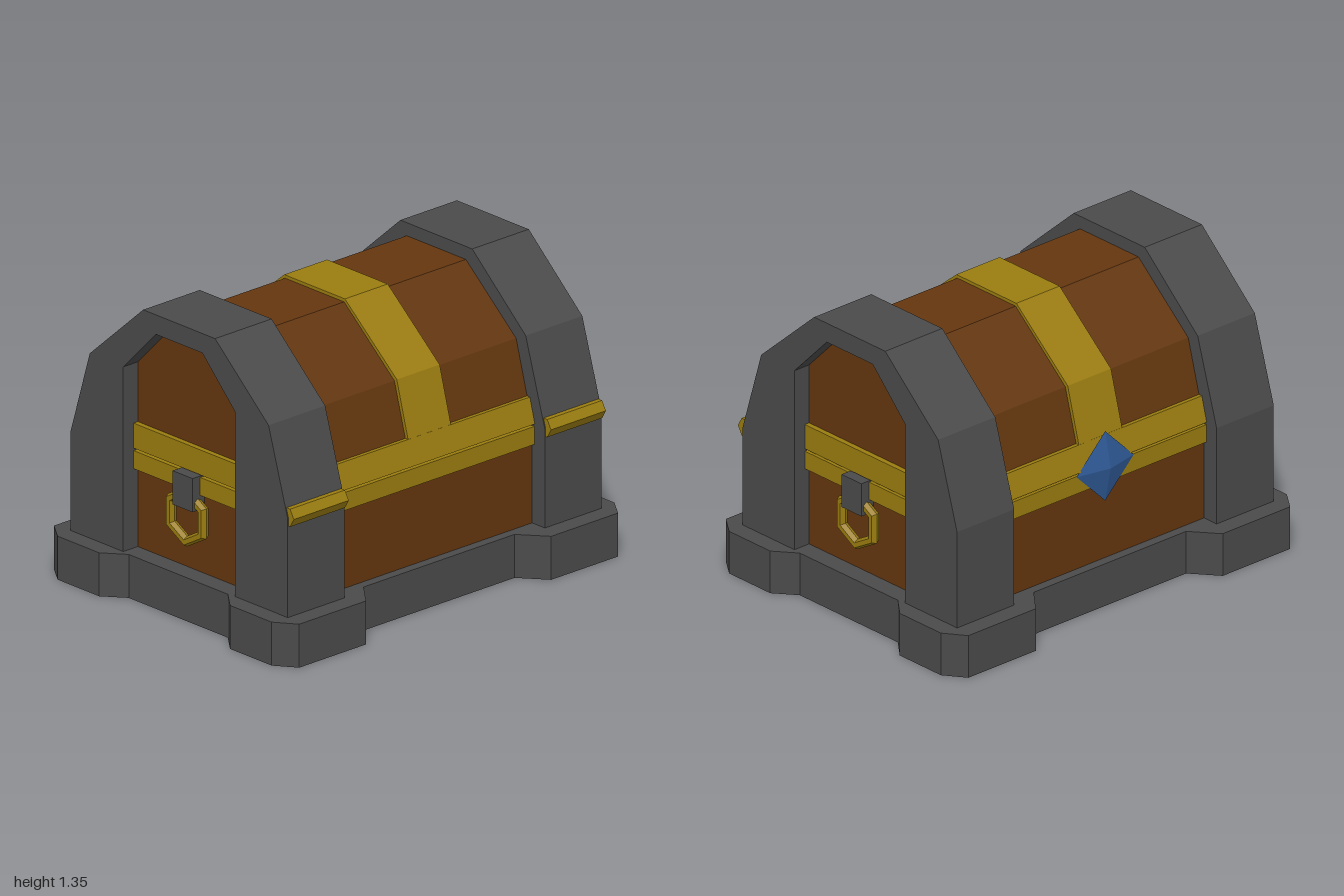
import * as THREE from 'three';

const makeMaterial = (name, color) => {
  const m = new THREE.MeshStandardMaterial({ color });
  m.name = name;
  return m;
};

// Faceted copy of a geometry
function faceted(geometry) {
  const g = geometry.index ? geometry.toNonIndexed() : geometry;
  g.computeVertexNormals();
  return g;
}

function shapeOf(points) {
  return new THREE.Shape(points.map(([u, v]) => new THREE.Vector2(u, v)));
}

// Mirrors half of an outline across the vertical axis
const mirrored = (half) => [...half, ...half.map(([u, v]) => [-u, v]).reverse()];

// Extrudes a symmetric (z, y) outline along x, centred on x = 0
function alongX(points, width) {
  const g = new THREE.ExtrudeGeometry(shapeOf(points), { depth: width, bevelEnabled: false });
  g.translate(0, 0, -width / 2);
  g.rotateY(Math.PI / 2);
  return g;
}

export function createModel() {
  const iron = makeMaterial('dark iron', 0x4a4a4a);
  const wood = makeMaterial('brown wood', 0x63360f);
  const gold = makeMaterial('gold trim', 0x9a7c10);
  const blue = makeMaterial('blue gem', 0x2f5a96);

  const chest = new THREE.Group();
  chest.name = 'chest';

  function add(name, geometry, material, x = 0, y = 0, z = 0) {
    const mesh = new THREE.Mesh(geometry, material);
    mesh.name = name;
    mesh.position.set(x, y, z);
    chest.add(mesh);
    return mesh;
  }

  // Plinth with four chamfered corner feet
  const corner = [[0.92, 0.31], [1, 0.41], [1, 0.67], [0.93, 0.768], [0.54, 0.768], [0.44, 0.645]];
  const rightHalf = [...corner.map(([x, z]) => [x, -z]).reverse(), ...corner];
  const plinth = new THREE.ExtrudeGeometry(shapeOf(mirrored(rightHalf)), { depth: 0.2, bevelEnabled: false });
  plinth.rotateX(-Math.PI / 2);
  add('plinth', plinth, iron);

  // Wooden body and its gold rim
  add('body', new THREE.BoxGeometry(1.66, 0.45, 1.2), wood, 0, 0.423, 0);
  add('bodyRim', new THREE.BoxGeometry(1.71, 0.083, 1.23), gold, 0, 0.607, 0);

  // Faceted lid, its rim and the strap over the middle
  add('lid', alongX(mirrored([[0.6, 0.662], [0.5, 1.02], [0.185, 1.29]]), 1.66), wood);
  add('lidRim', alongX(mirrored([[0.617, 0.66], [0.586, 0.775]]), 1.71), gold);
  add('lidStrap', alongX(mirrored([[0.606, 0.7], [0.515, 1.03], [0.19, 1.305]]), 0.25), gold);

  // Iron end frames: arch over the lid, posts beside the body
  const arch = mirrored([
    [0.145, 1.26], [0.35, 1.05], [0.35, 0.655], [0.68, 0.655], [0.56, 1.05], [0.225, 1.35],
  ]);
  // Reorder so the outline runs once round the outside and back along the opening
  const outer = mirrored(arch.slice(3, 6));
  const inner = mirrored(arch.slice(0, 3)).slice();
  const archOutline = [...outer, ...[...inner.slice(3), ...inner.slice(0, 3)]];
  const archGeometry = alongX(archOutline, 0.33);
  const postGeometry = new THREE.BoxGeometry(0.33, 0.455, 0.33);
  const hingeGeometry = faceted(new THREE.CylinderGeometry(0.047, 0.047, 0.32, 6));
  hingeGeometry.rotateZ(Math.PI / 2);
  const ringGeometry = faceted(new THREE.TorusGeometry(0.115, 0.024, 6, 6));
  ringGeometry.rotateZ(Math.PI / 2);
  ringGeometry.rotateY(Math.PI / 2);

  for (const [side, s] of [['left', 1], ['right', -1]]) {
    add(side + 'Arch', archGeometry, iron, s * 0.75, 0, 0);
    for (const [end, e] of [['Front', 1], ['Back', -1]]) {
      add(side + end + 'Post', postGeometry, iron, s * 0.75, 0.4275, e * 0.515);
    }
    add(side + 'Hinge', hingeGeometry, gold, s * 0.75, 0.66, 0.666);

    // Ring handle hanging from a bracket in the recess
    add(side + 'HandleBracket', new THREE.BoxGeometry(0.07, 0.155, 0.125), iron, s * 0.865, 0.5775, 0.005);
    add(side + 'HandleRing', ringGeometry, gold, s * 0.868, 0.453, 0);
  }

  // Diamond-shaped gem on the clasp side
  const gem = new THREE.OctahedronGeometry(1, 0);
  gem.scale(0.165, 0.165, 0.035);
  add('gem', faceted(gem), blue, 0, 0.645, -0.615);

  return chest;
}
